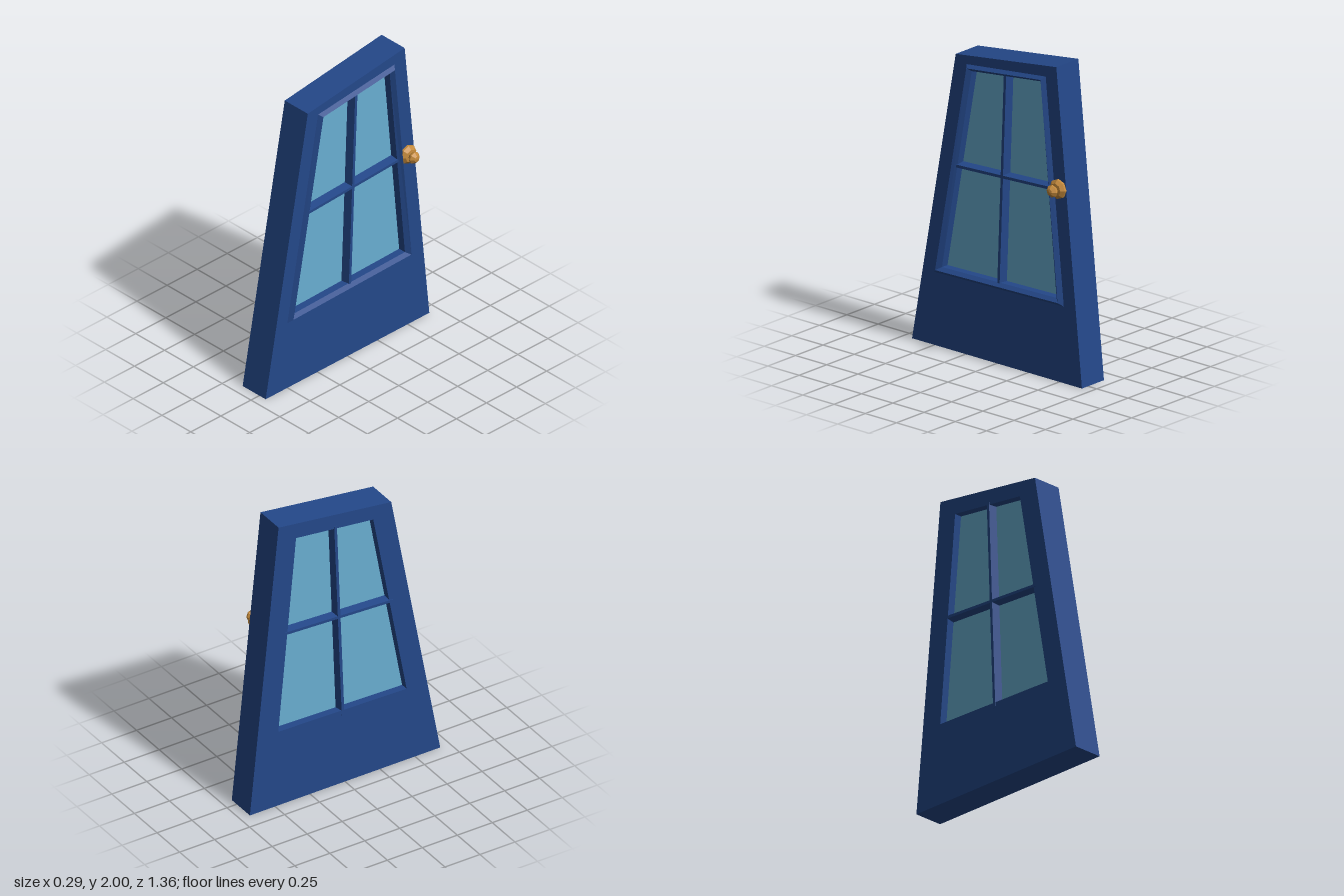
import * as THREE from 'three';

// Door outlines as [z, y] corners, counter-clockwise seen from +x
const DOOR = [[0.68, 0], [-0.68, 0], [-0.475, 2], [0.33, 1.895]];
const RIM = [[0.5, 0.465], [-0.535, 0.488], [-0.39, 1.92], [0.245, 1.85]];
const RIDGE = [[0.474, 0.489], [-0.507, 0.51], [-0.37, 1.9], [0.224, 1.834]];
const OPENING = [[0.44, 0.51], [-0.477, 0.53], [-0.35, 1.88], [0.202, 1.815]];
const BACK = -0.145, FRONT = 0.055;

// Slab with a given outline, running from x0 to x1
function slab(outline, x0, x1, hole) {
  const toPoints = (o) => o.map(([z, y]) => new THREE.Vector2(-z, y));
  const shape = new THREE.Shape(toPoints(outline));
  if (hole) shape.holes.push(new THREE.Path(toPoints(hole)));
  const geo = new THREE.ExtrudeGeometry(shape, { depth: x1 - x0, bevelEnabled: false });
  return geo.rotateY(Math.PI / 2).translate(x0, 0, 0);
}

// Flat-sided ring through several outlines, each at its own x
function ring(loops) {
  const pos = [];
  for (let l = 0; l < loops.length - 1; l++) {
    const [a, b] = [loops[l], loops[l + 1]];
    for (let i = 0; i < 4; i++) {
      const j = (i + 1) % 4;
      const p = ([outline, x], k) => [x, outline[k][1], outline[k][0]];
      for (const v of [p(a, i), p(a, j), p(b, j), p(a, i), p(b, j), p(b, i)]) pos.push(...v);
    }
  }
  const geo = new THREE.BufferGeometry();
  geo.setAttribute('position', new THREE.Float32BufferAttribute(pos, 3));
  geo.computeVertexNormals();
  return geo;
}

// Glazing bar between two [z, y] points, tapering to both faces of the door
function bar(from, to, halfWidth) {
  const start = new THREE.Vector3(0, from[1], from[0]);
  const dir = new THREE.Vector3(0, to[1], to[0]).sub(start);
  const length = dir.length();
  dir.normalize();
  const w = halfWidth, n = halfWidth * 0.5;
  const section = [[n, -0.147], [w, -0.095], [w, 0.005], [n, 0.06], [-n, 0.06], [-w, 0.005], [-w, -0.095], [-n, -0.147]];
  const shape = new THREE.Shape(section.map(([a, b]) => new THREE.Vector2(a, b)));
  const geo = new THREE.ExtrudeGeometry(shape, { depth: length, bevelEnabled: false });
  const xAxis = new THREE.Vector3(1, 0, 0);
  const side = new THREE.Vector3().crossVectors(xAxis, dir);
  return geo.applyMatrix4(new THREE.Matrix4().makeBasis(side, xAxis, dir).setPosition(start));
}

export function createModel() {
  const group = new THREE.Group();
  const material = (name, color) => {
    const m = new THREE.MeshStandardMaterial({ color, flatShading: true });
    m.name = name;
    return m;
  };
  const blue = material('blue paint', 0x24488a);
  const glass = material('pale blue glass', 0x69afd2);
  const brass = material('brass', 0xc48a3c);
  const add = (name, geo, mat) => {
    const mesh = new THREE.Mesh(geo, mat);
    mesh.name = name;
    group.add(mesh);
    return mesh;
  };

  // Crooked door with its window
  add('doorPanel', slab(DOOR, BACK, FRONT, OPENING), blue);
  add('windowMoulding', ring([[RIM, FRONT], [RIDGE, 0.08], [OPENING, FRONT]]), blue);
  add('windowGlass', slab(OPENING, -0.095, 0.005), glass);
  add('verticalBar', bar([-0.015, 0.485], [-0.069, 1.865], 0.019), blue);
  add('horizontalBar', bar([0.345, 1.182], [-0.43, 1.218], 0.018), blue);

  // Faceted knob on its backplate, turned about the x axis
  const profile = [[0, 0], [0.062, 0], [0.062, 0.015], [0.042, 0.034], [0.022, 0.036],
    [0.024, 0.042], [0.039, 0.056], [0.039, 0.066], [0.02, 0.086], [0, 0.09]];
  const knob = new THREE.LatheGeometry(profile.map(([r, h]) => new THREE.Vector2(r, h)), 8);
  add('doorKnob', knob.rotateZ(-Math.PI / 2).translate(FRONT, 1.23, -0.495), brass);

  return group;
}
